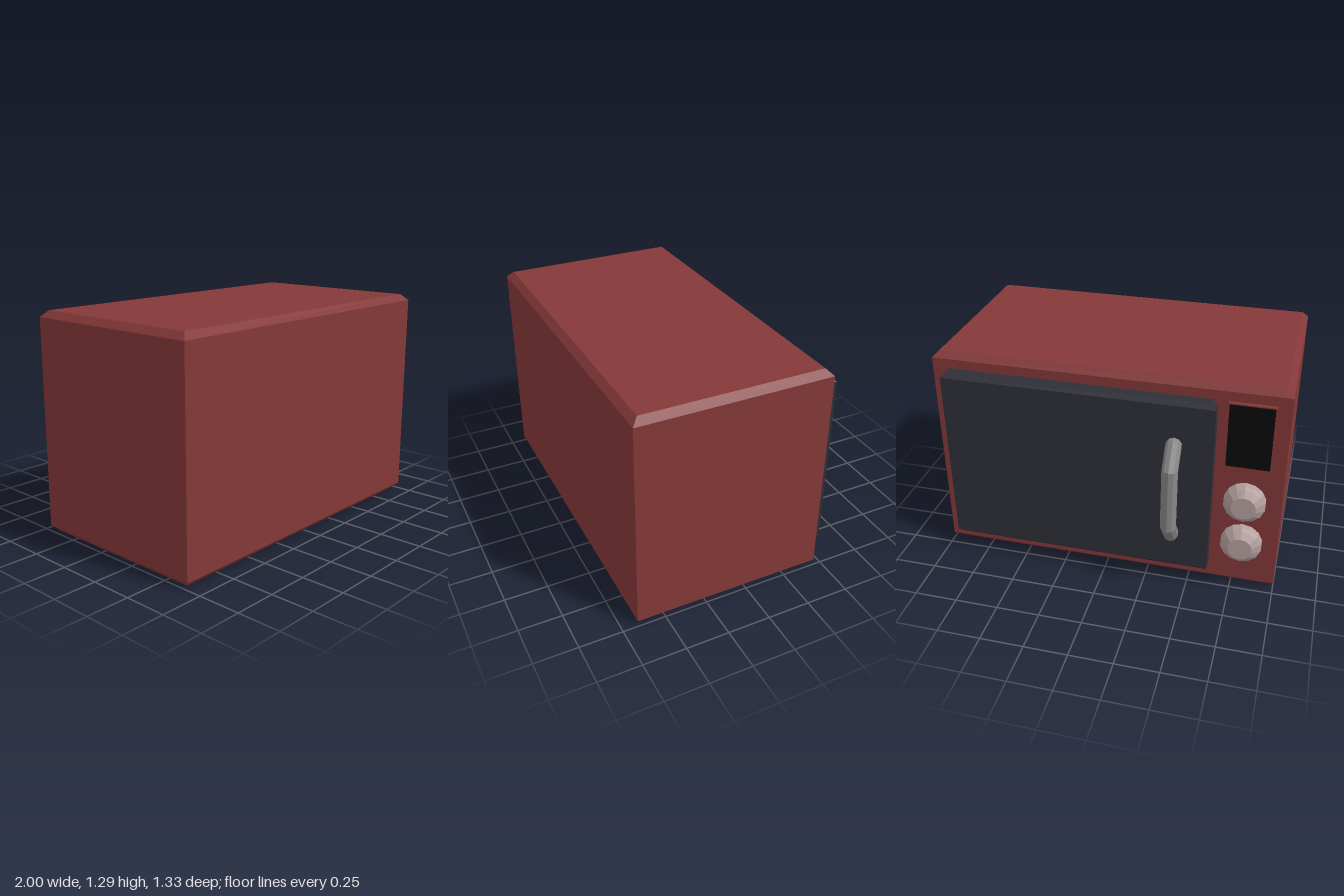
import * as THREE from 'three';

const mat = (name, color) => {
  const m = new THREE.MeshStandardMaterial({ color });
  m.name = name;
  return m;
};

// Faceted normals from split faces
function faceted(geometry) {
  const g = geometry.toNonIndexed();
  g.computeVertexNormals();
  return g;
}

// Box given by its limits, with the top and bottom rims chamfered by c
function chamferBox([x0, x1], [y0, y1], [z0, z1], c) {
  const w = x1 - x0, h = y1 - y0, d = z1 - z0;
  const g = new THREE.BoxGeometry(w, h, d, 1, 3, 1);
  const p = g.attributes.position;
  for (let i = 0; i < p.count; i++) {
    const x = p.getX(i), y = p.getY(i), z = p.getZ(i);
    if (Math.abs(y) > h * 0.4) p.setXYZ(i, x - Math.sign(x) * c, y, z - Math.sign(z) * c);
    else p.setY(i, Math.sign(y) * (h / 2 - c));
  }
  g.translate((x0 + x1) / 2, (y0 + y1) / 2, (z0 + z1) / 2);
  return faceted(g);
}

// Mitred round bar following a [y, z] path, from top to bottom
function bentBar(path, radius, sides) {
  const n = path.length - 1;
  const ups = path.slice(1).map((b, i) =>
    new THREE.Vector2(path[i][0] - b[0], path[i][1] - b[1]).normalize());
  const g = new THREE.CylinderGeometry(radius, radius, 1, sides, n);
  const p = g.attributes.position;
  for (let i = 0; i < p.count; i++) {
    const k = Math.round((0.5 - p.getY(i)) * n);
    const a = ups[Math.max(k - 1, 0)], b = ups[Math.min(k, n - 1)];
    const u = a.clone().add(b).normalize();
    const s = p.getZ(i) / u.dot(a);
    p.setXYZ(i, p.getX(i), path[k][0] - u.y * s, path[k][1] + u.x * s);
  }
  return faceted(g);
}

export function createModel() {
  const red = mat('red enamel', 0x843838);
  const dark = mat('dark door', 0x2e2f37);
  const grey = mat('grey metal', 0x888888);
  const pale = mat('pale knob', 0xb59f9f);
  const black = mat('black screen', 0x0a0a0a);

  const model = new THREE.Group();
  model.name = 'microwaveOven';
  const add = (name, geometry, material) => {
    const mesh = new THREE.Mesh(geometry, material);
    mesh.name = name;
    model.add(mesh);
    return mesh;
  };

  // Housing and door
  add('body', chamferBox([-1, 1], [0, 1.292], [-0.452, 0.664], 0.037), red);
  add('door', chamferBox([-0.615, 0.93], [0.1, 1.2], [-0.524, -0.4], 0.028), dark);

  // Door handle
  const path = [[0.935, -0.48], [0.935, -0.535], [0.825, -0.62],
    [0.465, -0.62], [0.355, -0.535], [0.355, -0.48]];
  add('handle', bentBar(path, 0.045, 10), grey).position.x = -0.4;

  // Display: red frame with a thin black face
  add('displayFrame', new THREE.BoxGeometry(0.255, 0.39, 0.05), red).position.set(-0.797, 1.005, -0.449);
  add('displayScreen', new THREE.BoxGeometry(0.24, 0.375, 0.006), black).position.set(-0.797, 1.005, -0.474);

  // Control knobs, turned and laid to face the door side
  const profile = [[0.118, -0.02], [0.118, 0.038], [0.105, 0.053], [0.07, 0.084], [0, 0.084]]
    .map(([r, y]) => new THREE.Vector2(r, y));
  const knob = faceted(new THREE.LatheGeometry(profile, 14));
  knob.rotateX(-Math.PI / 2);
  for (const [name, y] of [['upperKnob', 0.59], ['lowerKnob', 0.31]])
    add(name, knob, pale).position.set(-0.797, y, -0.452);

  return model;
}
